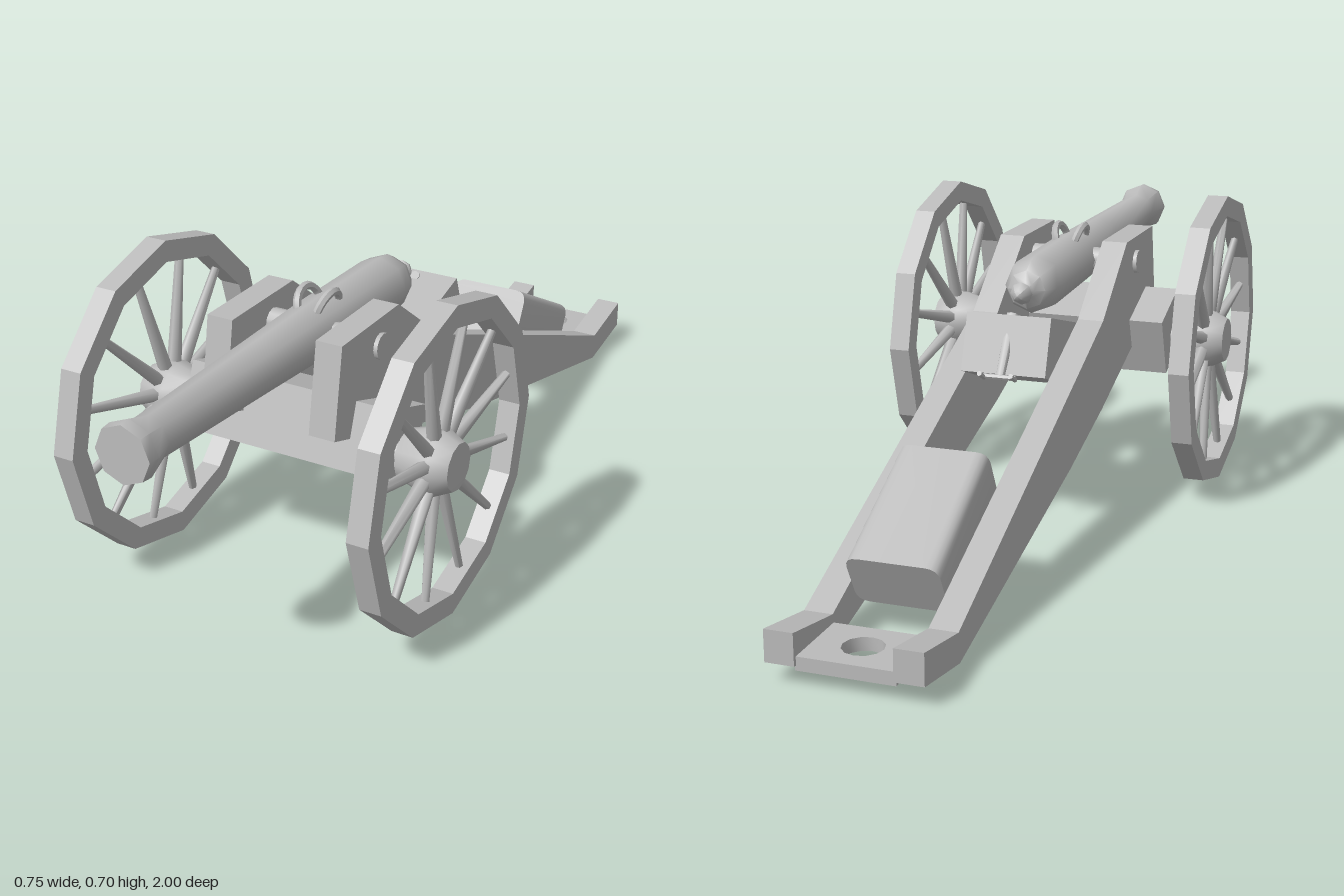
import * as THREE from 'three';
import { toCreasedNormals } from 'three/addons/utils/BufferGeometryUtils.js';

const V = (x, y, z) => new THREE.Vector3(x, y, z);

export function createModel() {
  const model = new THREE.Group();
  model.name = 'fieldCannon';
  const grey = new THREE.MeshStandardMaterial({ color: 0xbbbbbb });
  grey.name = 'plainGrey';

  function add(name, geometry, parent = model, crease = 0.85) {
    const mesh = new THREE.Mesh(toCreasedNormals(geometry, crease), grey);
    mesh.name = name;
    parent.add(mesh);
    return mesh;
  }

  // Side profile given as [z, y] points, extruded across x from x0 to x1
  function sideShape(points, x0, x1, hole) {
    const shape = new THREE.Shape(points.map(([z, y]) => new THREE.Vector2(-z, y)));
    if (hole) shape.holes.push(new THREE.Path(hole.map(([z, y]) => new THREE.Vector2(-z, y))));
    return new THREE.ExtrudeGeometry(shape, { depth: x1 - x0, bevelEnabled: false })
      .rotateY(Math.PI / 2).translate(x0, 0, 0);
  }

  // Tapered rod between two points
  function rod(a, b, ra, rb, sides = 8) {
    const dir = b.clone().sub(a);
    const g = new THREE.CylinderGeometry(rb, ra, dir.length(), sides);
    g.applyQuaternion(new THREE.Quaternion().setFromUnitVectors(V(0, 1, 0), dir.normalize()));
    return g.translate((a.x + b.x) / 2, (a.y + b.y) / 2, (a.z + b.z) / 2);
  }

  // Lathe of [radius, height] pairs
  const lathe = (pts, sides) =>
    new THREE.LatheGeometry(pts.map(([r, h]) => new THREE.Vector2(r, h)), sides);

  // Barrel, slightly raised at the muzzle
  const barrel = add('barrel', lathe([
    [0, -0.062], [0.012, -0.055], [0.026, -0.032], [0.012, -0.014], [0.02, -0.004],
    [0.045, 0.004], [0.062, 0.035], [0.066, 0.07], [0.064, 0.33], [0.056, 0.56],
    [0.045, 0.92], [0.062, 0.975], [0.06, 1.0], [0, 1.0]], 8).rotateX(Math.PI / 2));
  barrel.rotation.x = -0.03;
  barrel.position.y = 0.536;

  // Trunnions
  add('trunnions', rod(V(-0.167, 0.545, 0.35), V(0.167, 0.545, 0.35), 0.028, 0.028, 12));

  // Lifting handles on the barrel
  for (const s of [-1, 1]) {
    const handle = add('liftingHandle',
      new THREE.TorusGeometry(0.044, 0.009, 6, 10, Math.PI).rotateY(Math.PI / 2));
    handle.position.set(s * 0.02, 0.586, 0.33);
    handle.rotation.z = -s * 0.3;
  }

  // Carriage cheeks running back into the trail
  const cheek = [
    [0.5, 0.605], [0.27, 0.605], [0.08, 0.458], [-0.835, 0.077], [-1, 0.108],
    [-1, 0.042], [-0.83, 0.013], [-0.157, 0.18], [0.08, 0.25], [0.535, 0.41]];
  for (const s of [-1, 1])
    add(s > 0 ? 'leftCheek' : 'rightCheek',
      sideShape(cheek, s * 0.128 - 0.03, s * 0.128 + 0.03), model, 0.1);

  // Axle beam and axle
  const beam = add('axleBeam', new THREE.BoxGeometry(0.478, 0.146, 0.155));
  beam.position.set(0, 0.367, 0.4);
  beam.rotation.x = -0.35;
  add('axle', rod(V(-0.3, 0.352, 0.413), V(0.3, 0.352, 0.413), 0.026, 0.026, 12));

  // Elevating wedge below the breech, with its screw and crank
  add('elevatingWedge', sideShape(
    [[0.16, 0.4], [0.09, 0.447], [-0.115, 0.505], [-0.157, 0.38], [-0.02, 0.33], [0.1, 0.33]],
    -0.098, 0.098), model, 0.3);
  const screw = new THREE.Group();
  screw.name = 'elevatingScrew';
  model.add(screw);
  add('screwShaft', rod(V(0, 0.5, -0.09), V(0, 0.375, -0.175), 0.014, 0.01), screw);
  add('crankBar', rod(V(-0.038, 0.38, -0.18), V(0.038, 0.38, -0.18), 0.006, 0.006, 6), screw);
  for (const s of [-1, 1])
    add('crankGrip', rod(V(s * 0.036, 0.376, -0.178), V(s * 0.036, 0.392, -0.207), 0.006, 0.006, 6), screw);

  // Ammunition chest resting on the trail, with rounded long edges
  const w = 0.097, h = 0.062, r = 0.028;
  const section = new THREE.Shape();
  section.moveTo(-w + r, -h);
  section.lineTo(w - r, -h);
  section.quadraticCurveTo(w, -h, w, -h + r);
  section.lineTo(w, h - r);
  section.quadraticCurveTo(w, h, w - r, h);
  section.lineTo(-w + r, h);
  section.quadraticCurveTo(-w, h, -w, h - r);
  section.lineTo(-w, -h + r);
  section.quadraticCurveTo(-w, -h, -w + r, -h);
  const chest = add('ammunitionChest', new THREE.ExtrudeGeometry(section,
    { depth: 0.31, bevelEnabled: false, curveSegments: 4 }).translate(0, 0, -0.155));
  chest.position.set(0, 0.19, -0.617);
  chest.rotation.x = -0.485;

  // Towing plate with its eye at the trail end
  const plate = new THREE.Shape([
    new THREE.Vector2(-0.1, -0.08), new THREE.Vector2(0.1, -0.08),
    new THREE.Vector2(0.1, 0.08), new THREE.Vector2(-0.1, 0.08)]);
  plate.holes.push(new THREE.Path().absarc(0, 0, 0.042, 0, Math.PI * 2, true));
  add('towingPlate', new THREE.ExtrudeGeometry(plate,
    { depth: 0.028, bevelEnabled: false, curveSegments: 6 })
    .rotateX(-Math.PI / 2).translate(0, 0.031, -0.912));

  // Wheels: twelve-sided rim, dished spokes and hub
  const ring = (radius) => Array.from({ length: 12 }, (_, i) => {
    const a = i * Math.PI / 6;
    return [Math.sin(a) * radius, Math.cos(a) * radius];
  });
  for (const s of [-1, 1]) {
    const wheel = new THREE.Group();
    wheel.name = s > 0 ? 'leftWheel' : 'rightWheel';
    wheel.position.set(0, 0.352, 0.414);
    if (s < 0) wheel.rotation.y = Math.PI;
    model.add(wheel);
    add('rim', sideShape(ring(0.352), 0.317, 0.365, ring(0.304)), wheel, 0.1);
    add('hub', lathe([[0, 0.255], [0.054, 0.255], [0.07, 0.305], [0.071, 0.335],
      [0.052, 0.373], [0, 0.375]], 12).rotateZ(-Math.PI / 2).scale(1, 1, 1), wheel);
    for (let i = 0; i < 12; i++) {
      const a = (i + 0.5) * Math.PI / 6, y = Math.cos(a), z = Math.sin(a);
      add('spoke', rod(V(0.325, y * 0.05, z * 0.05), V(0.341, y * 0.305, z * 0.305), 0.016, 0.009, 6), wheel, 1.1);
    }
  }
  return model;
}
